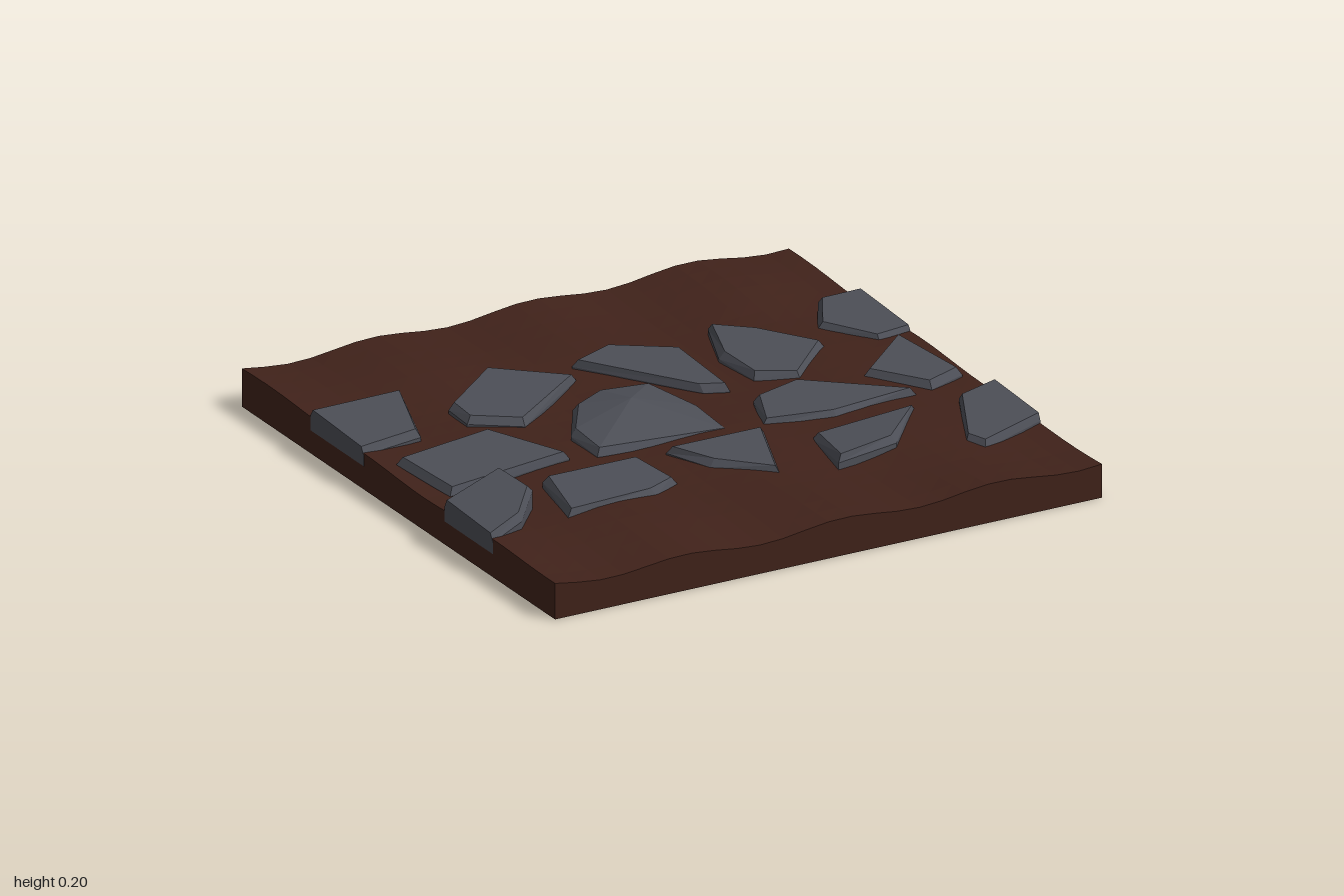
import * as THREE from 'three';

const dirt = new THREE.MeshStandardMaterial({ color: 0x40221a, flatShading: true, side: THREE.DoubleSide });
const rock = new THREE.MeshStandardMaterial({ color: 0x4c4e56, flatShading: true, side: THREE.DoubleSide });

// Gently rolling soil height
function soilHeight(x, z) {
  const wave = -0.013 * Math.cos(11 * (x + 0.24)) * (0.35 + 0.65 * z * z);
  const roll = 0.006 * Math.sin(5 * z + 2 * x) + 0.004 * Math.sin(9 * z - 3 * x);
  const mound = 0.026 * Math.exp(-((x - 0.72) ** 2 + (z + 0.75) ** 2) / 0.05);
  const rear = 0.018 * Math.max(0, -z - 0.5);
  return 0.119 + wave + roll + mound + rear;
}

function meshFrom(positions, material, name) {
  const geometry = new THREE.BufferGeometry();
  geometry.setAttribute('position', new THREE.Float32BufferAttribute(positions, 3));
  geometry.computeVertexNormals();
  const mesh = new THREE.Mesh(geometry, material);
  mesh.name = name;
  return mesh;
}

const quad = (out, a, b, c, d) => out.push(...a, ...b, ...c, ...a, ...c, ...d);

// Soil surface
function makeSoil(n) {
  const geometry = new THREE.PlaneGeometry(2, 2, n, n).rotateX(-Math.PI / 2);
  const p = geometry.attributes.position;
  for (let i = 0; i < p.count; i++) p.setY(i, soilHeight(p.getX(i), p.getZ(i)));
  geometry.computeVertexNormals();
  const mesh = new THREE.Mesh(geometry, dirt);
  mesh.name = 'soilSurface';
  return mesh;
}

// Four side walls around the open-bottomed slab
function makeWalls(n) {
  const out = [];
  const sides = [(t) => [t, 1], (t) => [1, -t], (t) => [-t, -1], (t) => [-1, t]];
  for (const side of sides) {
    for (let i = 0; i < n; i++) {
      const [x0, z0] = side(-1 + (2 * i) / n);
      const [x1, z1] = side(-1 + (2 * (i + 1)) / n);
      quad(out, [x0, 0, z0], [x1, 0, z1], [x1, soilHeight(x1, z1), z1], [x0, soilHeight(x0, z0), z0]);
    }
  }
  return meshFrom(out, dirt, 'soilWalls');
}

const centreOf = (outline) => outline.reduce((s, p) => s.add(p), new THREE.Vector2()).divideScalar(outline.length);

// Keeps the part of an outline on one side of the seam x = 1
function clipAtSeam(outline, sign) {
  const kept = [];
  outline.forEach((p, i) => {
    const q = outline[(i + 1) % outline.length];
    const dp = sign * (p.x - 1), dq = sign * (q.x - 1);
    if (dp >= 0) kept.push(p);
    if (dp * dq < 0) kept.push(p.clone().lerp(q, dp / (dp - dq)));
  });
  return kept;
}

// One stone: sunken sides, a narrow bevel and a flat or peaked top
function makeStone(outline, height, peak, name) {
  if (THREE.ShapeUtils.area(outline) > 0) outline.reverse();
  const c = centreOf(outline);
  const rings = outline.map((p) => {
    const cut = Math.abs(p.x) > 0.999;
    const q = p.clone().add(c.clone().sub(p).setLength(0.02));
    const x = cut ? Math.sign(p.x) * 1.001 : p.x;
    return {
      top: [cut ? x : q.x, height(q), q.y],
      mid: [x, height(p) - 0.025, p.y],
      low: [x, cut ? 0.08 : 0.05, p.y],
    };
  });
  const out = [];
  rings.forEach((a, i) => {
    const b = rings[(i + 1) % rings.length];
    quad(out, a.low, b.low, b.mid, a.mid);
    quad(out, a.mid, b.mid, b.top, a.top);
    if (peak) out.push(...a.top, ...b.top, c.x, height(c) + peak, c.y);
  });
  if (!peak) {
    const flat = rings.map((r) => new THREE.Vector2(r.top[0], r.top[2]));
    for (const [i, j, k] of THREE.ShapeUtils.triangulateShape(flat, [])) {
      out.push(...rings[k].top, ...rings[j].top, ...rings[i].top);
    }
  }
  return meshFrom(out, rock, name);
}

// Corner outlines [x, z]; those passing x = 1 wrap round to the opposite edge
const backRow = [
  { pts: [[0.86, -0.57], [1.32, -0.54], [1.22, -0.24], [0.88, -0.21], [0.76, -0.4]] },
  { pts: [[-0.6, -0.38], [-0.34, -0.59], [-0.11, -0.42], [-0.44, -0.17], [-0.6, -0.26]] },
  { pts: [[-0.08, -0.5], [0.07, -0.56], [0.28, -0.43], [0.27, -0.1], [0.19, -0.13]] },
  { pts: [[0.44, -0.54], [0.56, -0.45], [0.7, -0.25], [0.51, -0.07], [0.38, -0.14], [0.36, -0.33]] },
];
const middleRow = [
  { pts: [[-0.95, -0.1], [-0.59, -0.14], [-0.46, 0.15], [-0.92, 0.19]] },
  { pts: [[-0.37, 0], [-0.26, -0.18], [-0.13, -0.25], [0.05, -0.23], [0.11, 0], [0.1, 0.2], [-0.37, 0.17]], peak: 0.05 },
  { pts: [[0.28, 0.03], [0.46, -0.02], [0.76, 0.23], [0.45, 0.27], [0.21, 0.21]] },
  { pts: [[0.92, -0.17], [0.97, 0.16], [0.83, 0.21], [0.69, 0.02]] },
];
const frontRow = [
  { pts: [[0.86, 0.33], [1.23, 0.24], [1.25, 0.42], [1.13, 0.56], [0.75, 0.69], [0.72, 0.62]], lift: 0.17 },
  { pts: [[-0.64, 0.29], [-0.28, 0.27], [-0.25, 0.47], [-0.36, 0.53], [-0.7, 0.56]] },
  { pts: [[-0.17, 0.26], [0.18, 0.27], [0.07, 0.57], [-0.1, 0.42]] },
  { pts: [[0.3, 0.37], [0.7, 0.33], [0.5, 0.56], [0.26, 0.61]], slope: 0.07 },
];

// Lays one row, each stone tipped slightly its own way
function makeRow(row, name) {
  const group = new THREE.Group();
  group.name = name;
  row.forEach(({ pts, peak = 0, lift = 0, slope = -0.04 }, i) => {
    const outline = pts.map(([x, z]) => new THREE.Vector2(x, z));
    const c = centreOf(outline);
    const tilt = 0.04 * Math.cos(2.5 * i);
    const height = (p) => 0.149 + tilt * (p.x - c.x) + slope * (p.y - c.y) + lift * Math.max(0, p.x - 1);
    const inner = clipAtSeam(outline, -1);
    const wrapped = clipAtSeam(outline, 1);
    group.add(makeStone(inner, height, peak, `pavingStone${i + 1}`));
    if (wrapped.length) {
      const shifted = wrapped.map((p) => new THREE.Vector2(p.x - 2, p.y));
      const shiftedHeight = (p) => height({ x: p.x + 2, y: p.y });
      group.add(makeStone(shifted, shiftedHeight, peak, `pavingStone${i + 1}Wrapped`));
    }
  });
  return group;
}

export function createModel() {
  const group = new THREE.Group();
  group.name = 'stonePathTile';
  const segments = 24;
  group.add(makeSoil(segments), makeWalls(segments));
  group.add(makeRow(backRow, 'backStones'), makeRow(middleRow, 'middleStones'), makeRow(frontRow, 'frontStones'));
  return group;
}
